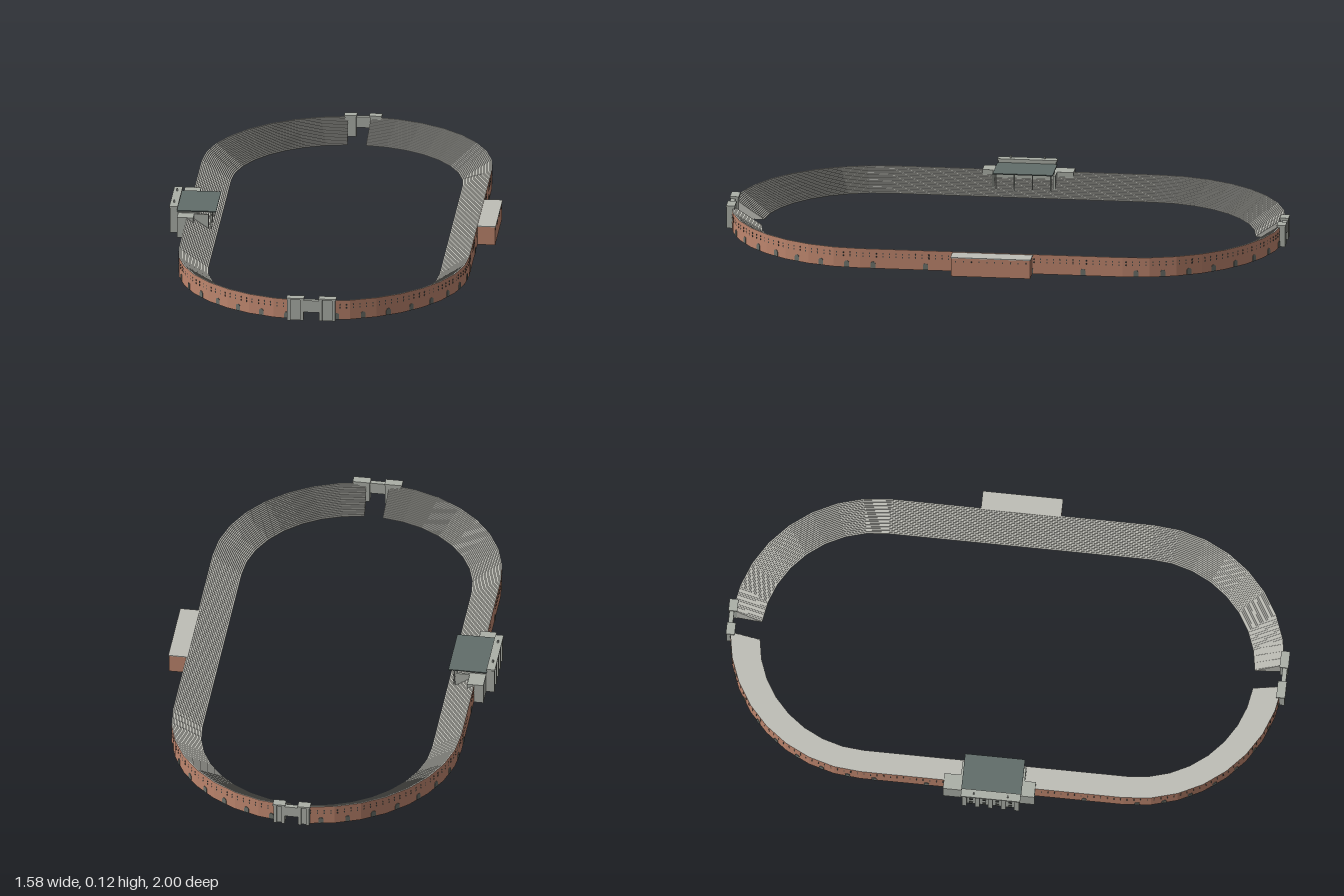
import * as THREE from 'three';
import { mergeGeometries } from 'three/addons/utils/BufferGeometryUtils.js';

const R = 0.556, R_IN = 0.442, L = 0.504, H = 0.077, GAP = 0.08, STEPS = 20;

function mat(name, color, side = THREE.FrontSide) {
  const m = new THREE.MeshStandardMaterial({ color, side });
  m.name = name;
  return m;
}

export function createModel() {
  const brick = mat('brick', 0xbe866e);
  const concrete = mat('concrete', 0xbebeb7, THREE.DoubleSide);
  const stone = mat('stone', 0xacb0a8);
  const roofing = mat('roofing', 0x616d6a);
  const doorGrey = mat('doorGrey', 0x6c716b);
  const windowDark = mat('windowDark', 0x4a4d4a);

  const root = new THREE.Group();
  root.name = 'stadium';
  const arena = new THREE.Group();
  arena.name = 'arena';
  arena.rotation.y = THREE.MathUtils.degToRad(28);
  root.add(arena);

  const add = (parent, name, geo, material) => {
    const m = new THREE.Mesh(geo, material);
    m.name = name;
    parent.add(m);
    return m;
  };
  // box given by its limits on each axis
  const box = (parent, name, material, x0, x1, y0, y1, z0, z1) => {
    const g = new THREE.BoxGeometry(x1 - x0, y1 - y0, z1 - z0);
    g.translate((x0 + x1) / 2, (y0 + y1) / 2, (z0 + z1) / 2);
    return add(parent, name, g, material);
  };
  // arched opening plate, standing on y = 0 and facing +z
  const archGeo = (w, h) => {
    const s = new THREE.Shape();
    s.moveTo(-w / 2, 0);
    s.lineTo(w / 2, 0);
    s.lineTo(w / 2, h - w / 2);
    s.absarc(0, h - w / 2, w / 2, 0, Math.PI, false);
    s.closePath();
    return new THREE.ExtrudeGeometry(s, { depth: 0.002, bevelEnabled: false, curveSegments: 5 });
  };

  // stations of one half of the oval: centre offset and outward angle
  const stations = [];
  for (let i = 0; i <= 8; i++) stations.push([L, GAP + (Math.PI / 2 - GAP) * i / 8]);
  for (let i = 1; i < 10; i++) stations.push([L - 2 * L * i / 10, Math.PI / 2]);
  for (let i = 0; i <= 8; i++) stations.push([-L, Math.PI / 2 + (Math.PI / 2 - GAP) * i / 8]);
  const at = ([c, a], r, y) => new THREE.Vector3(Math.sin(a) * r, y, c + Math.cos(a) * r);

  // sweep profile segments [r0, y0, r1, y1] along the stations
  const sweep = (segments) => {
    const pos = [];
    for (const [r0, y0, r1, y1] of segments) {
      for (let i = 0; i < stations.length - 1; i++) {
        const a = at(stations[i], r0, y0), b = at(stations[i + 1], r0, y0);
        const c = at(stations[i + 1], r1, y1), d = at(stations[i], r1, y1);
        for (const p of [a, b, c, a, c, d]) pos.push(p.x, p.y, p.z);
      }
    }
    const g = new THREE.BufferGeometry();
    g.setAttribute('position', new THREE.Float32BufferAttribute(pos, 3));
    g.computeVertexNormals();
    return g;
  };

  // terrace profile: flat underside, then treads and risers
  const steps = [[R_IN, 0, R, 0]];
  const profile = new THREE.Shape();
  profile.moveTo(R_IN, 0);
  profile.lineTo(R, 0);
  const tread = (R - R_IN) / STEPS, rise = H / STEPS;
  for (let i = 0; i < STEPS; i++) {
    const r = R - i * tread, y = H - i * rise;
    steps.push([r, y, r - tread, y], [r - tread, y, r - tread, y - rise]);
    profile.lineTo(r, y);
    profile.lineTo(r - tread, y);
  }
  profile.closePath();

  const wallGeo = sweep([[R, 0, R, H]]);
  const stepGeo = sweep(steps);

  // arched doors and two rows of small windows on the wall facets
  const doors = [], windows = [];
  for (let i = 0; i < stations.length - 1; i++) {
    const a = at(stations[i], R, 0), b = at(stations[i + 1], R, 0);
    const along = b.clone().sub(a);
    const turn = Math.atan2(-along.z, along.x);
    const place = (g, t, y, list) => {
      const p = a.clone().lerp(b, t);
      list.push(g.rotateY(turn).translate(p.x, y, p.z));
    };
    const straight = i >= 8 && i < 18;
    if (!straight || i % 2 === 0) place(archGeo(0.019, 0.026), 0.5, 0.001, doors);
    for (let k = 0; k < 4; k++) {
      for (const y of [0.047, 0.059]) {
        place(new THREE.BoxGeometry(0.004, 0.006, 0.002), (k + 0.5) / 4, y, windows);
      }
    }
  }
  const doorGeo = mergeGeometries(doors);
  const windowGeo = mergeGeometries(windows);

  // two identical halves of the oval
  for (let h = 0; h < 2; h++) {
    const half = new THREE.Group();
    half.name = h ? 'leftStand' : 'rightStand';
    half.rotation.y = h * Math.PI;
    arena.add(half);
    add(half, 'outerWall', wallGeo, brick);
    add(half, 'terraces', stepGeo, concrete);
    add(half, 'wallDoors', doorGeo, doorGrey);
    add(half, 'wallWindows', windowGeo, windowDark);
    for (const [c, a] of [stations[0], stations[stations.length - 1]]) {
      const end = add(half, 'standEnd', new THREE.ShapeGeometry(profile), concrete);
      end.position.z = c;
      end.rotation.y = a - Math.PI / 2;
    }
  }

  // gates: towers with piers, a deep lintel and cornices
  const gate = (name, halfWidth, inner, height, shift, turn) => {
    const g = new THREE.Group();
    g.name = name;
    g.rotation.y = turn;
    arena.add(g);
    const z0 = 1.042, z1 = 1.066;
    for (const s of [-1, 1]) {
      const span = (n, a, b, ...rest) => {
        const e = [shift + s * a, shift + s * b].sort((p, q) => p - q);
        box(g, n, stone, e[0], e[1], ...rest);
      };
      span('gateTower', inner, halfWidth - 0.003, 0, height - 0.006, z0, z1);
      span('gateCornice', inner - 0.002, halfWidth, height - 0.006, height, z0 - 0.002, z1 + 0.008);
      span('gatePier', inner, inner + 0.012, 0, height - 0.006, z1, z1 + 0.006);
      span('gatePier', halfWidth - 0.015, halfWidth - 0.003, 0, height - 0.006, z1, z1 + 0.006);
    }
    box(g, 'gateLintel', stone, shift - inner, shift + inner, 0.034, height - 0.009, z1 - 0.014, z1 + 0.004);
  };
  gate('frontGate', 0.095, 0.03, 0.09, 0, 0);
  gate('backGate', 0.072, 0.026, 0.086, -0.015, Math.PI);

  // brick annex with a flat roof and small windows
  const annex = new THREE.Group();
  annex.name = 'annex';
  arena.add(annex);
  box(annex, 'annexWalls', brick, 0.55, 0.624, 0, 0.072, -0.158, 0.146);
  box(annex, 'annexRoof', concrete, 0.55, 0.626, 0.072, 0.075, -0.16, 0.148);
  for (let i = 0; i < 10; i++) {
    const z = -0.142 + i * 0.03;
    box(annex, 'annexWindow', windowDark, 0.624, 0.625, 0.056, 0.062, z - 0.002, z + 0.002);
  }

  // main grandstand, facing outward along its own +z
  const stand = new THREE.Group();
  stand.name = 'grandstand';
  stand.rotation.y = -Math.PI / 2;
  arena.add(stand);
  box(stand, 'wing', stone, -0.185, 0.165, 0, 0.081, 0.53, 0.592);
  box(stand, 'hall', stone, -0.11, 0.11, 0, 0.084, 0.52, 0.6);
  box(stand, 'facade', stone, -0.11, 0.11, 0, 0.1, 0.596, 0.612);
  box(stand, 'facadeCornice', stone, -0.114, 0.114, 0.1, 0.107, 0.594, 0.626);
  for (const x of [-0.065, 0.065]) {
    box(stand, 'finial', stone, x - 0.003, x + 0.003, 0.107, 0.117, 0.608, 0.614);
  }
  for (let i = 0; i < 5; i++) {
    const x = -0.1 + i * 0.05;
    box(stand, 'facadePier', stone, x - 0.009, x + 0.009, 0, 0.1, 0.612, 0.624);
    if (i === 4) continue;
    const c = x + 0.025;
    for (const [y0, y1] of [[0.002, 0.024], [0.044, 0.056], [0.076, 0.088]]) {
      box(stand, 'facadeOpening', windowDark, c - 0.007, c + 0.007, y0, y1, 0.612, 0.614);
    }
  }
  box(stand, 'canopy', roofing, -0.115, 0.115, 0.088, 0.092, 0.447, 0.596);
  for (const x of [-0.105, -0.035, 0.035, 0.105]) {
    box(stand, 'canopyPost', stone, x - 0.002, x + 0.002, 0.015, 0.088, 0.466, 0.47);
  }
  // low side walls flanking the covered seats
  for (const x of [-0.122, 0.114]) {
    box(stand, 'sideWall', stone, x, x + 0.008, 0, 0.081, 0.475, 0.53);
  }

  return root;
}
